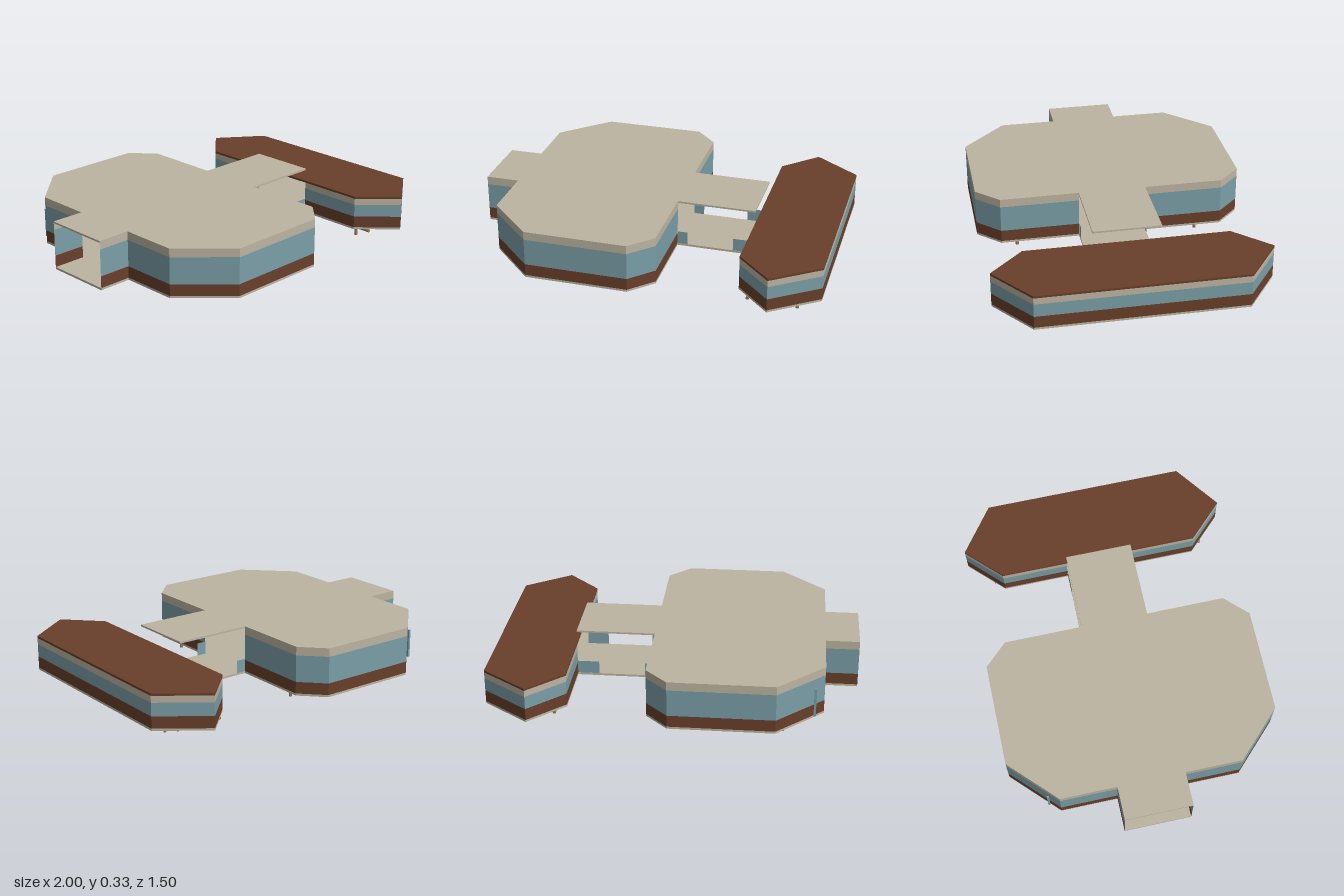
import * as THREE from 'three';

const mat = (name, color, side = THREE.FrontSide) => {
  const m = new THREE.MeshStandardMaterial({ color, side });
  m.name = name;
  return m;
};

export function createModel() {
  const beige = mat('beige', 0xbdb4a1);
  const beigeWall = beige;
  beige.side = THREE.DoubleSide;
  const glass = mat('glass blue', 0x7a9ea7, THREE.DoubleSide);
  const brown = mat('brown', 0x683f2a, THREE.DoubleSide);
  const wood = mat('timber', 0x967c52);

  const model = new THREE.Group();
  model.name = 'pavilion';

  const add = (name, geometry, material, parent = model) => {
    const mesh = new THREE.Mesh(geometry, material);
    mesh.name = name;
    parent.add(mesh);
    return mesh;
  };
  const box = (name, x0, x1, y0, y1, z0, z1, material, parent) =>
    add(name, new THREE.BoxGeometry(x1 - x0, y1 - y0, z1 - z0), material, parent)
      .position.set((x0 + x1) / 2, (y0 + y1) / 2, (z0 + z1) / 2);

  // Flat slab over a plan outline of [x, z] points
  const slab = (name, outline, y0, y1, material) => {
    const shape = new THREE.Shape(outline.map(([x, z]) => new THREE.Vector2(x, z)));
    const g = new THREE.ExtrudeGeometry(shape, { depth: y1 - y0, bevelEnabled: false });
    g.rotateX(Math.PI / 2).translate(0, y1, 0);
    add(name, g, material);
  };

  // Thin wall along a plan path, stacked in coloured bands
  const walls = (name, path, bands) => {
    const group = new THREE.Group();
    group.name = name;
    model.add(group);
    for (const [band, y0, y1, material] of bands) {
      for (let i = 0; i + 1 < path.length; i++) {
        const [ax, az] = path[i], [bx, bz] = path[i + 1];
        const g = new THREE.PlaneGeometry(Math.hypot(bx - ax, bz - az), y1 - y0);
        g.rotateY(Math.atan2(az - bz, bx - ax));
        g.translate((ax + bx) / 2, (y0 + y1) / 2, (az + bz) / 2);
        add(band, g, material, group);
      }
    }
  };

  const mirrored = (path) => path.map(([x, z]) => [x, -z]);

  // Main hall: front half of the plan, from the entrance stub to the bridge
  const hallHalf = [[-1, 0.187], [-0.815, 0.187], [-0.815, 0.502], [-0.565, 0.748],
    [0, 0.748], [0.121, 0.623], [0.121, 0.187]];
  const hallSlab = [...hallHalf, [0.555, 0.187]];
  const hallOutline = [...hallSlab, ...mirrored(hallSlab).reverse()];
  const hallBands = [['lowerWall', 0.07, 0.135, brown], ['windowBand', 0.135, 0.283, glass],
    ['upperWall', 0.283, 0.32, beigeWall]];
  slab('hallFloor', hallOutline, 0.058, 0.07, beige);
  slab('hallRoof', hallOutline, 0.32, 0.33, beige);
  walls('hallFrontWalls', hallHalf, hallBands);
  walls('hallBackWalls', mirrored(hallHalf), hallBands);

  // Side wing: elongated hexagon, open where the bridge enters
  const wingHalf = [[0.555, 0.187], [0.555, 0.56], [0.742, 0.748], [0.995, 0.562], [0.995, 0]];
  const wingOutline = [[0.555, 0.56], [0.742, 0.748], [0.995, 0.562],
    [0.995, -0.562], [0.742, -0.748], [0.555, -0.56]];
  const wingBands = [['lowerWall', 0.07, 0.135, brown], ['windowBand', 0.135, 0.207, glass],
    ['upperWall', 0.207, 0.243, beigeWall]];
  slab('wingFloor', wingOutline, 0.058, 0.07, beige);
  slab('wingRoof', wingOutline, 0.243, 0.255, brown);
  walls('wingFrontWalls', wingHalf, wingBands);
  walls('wingBackWalls', mirrored(wingHalf), wingBands);

  // Low glass rails at both ends of the bridge
  for (const z of [-0.186, 0.186]) {
    for (const [x0, x1] of [[0.121, 0.178], [0.435, 0.555]]) {
      walls('bridgeRail', [[x0, z], [x1, z]], [['railPanel', 0.07, 0.142, glass]]);
    }
  }

  // Ridge beam under the hall roof, and a slim post beside the back corner
  box('ridgeBeam', -0.8, 0.1, 0.3, 0.32, -0.014, 0.014, wood);
  box('cornerPost', -0.772, -0.76, 0.07, 0.23, -0.567, -0.555, glass);

  // Round timber beams under the floors
  const beam = (name, x0, z0, x1, z1) => {
    const g = new THREE.CylinderGeometry(0.009, 0.009, Math.hypot(x1 - x0, z1 - z0), 10);
    if (x0 === x1) g.rotateX(Math.PI / 2);
    else g.rotateZ(Math.PI / 2);
    add(name, g, wood).position.set((x0 + x1) / 2, 0.049, (z0 + z1) / 2);
  };
  for (const x of [-0.6, 0.05, 0.615, 0.87]) beam('longBeam', x, -0.615, x, 0.625);
  for (const z of [0.41, -0.465]) beam('crossBeam', -0.73, z, 0.087, z);

  // Short stilts
  const stilts = [[0.87, 0.565], [0.87, -0.495], [0.615, 0.53], [0.615, -0.465],
    [0.05, 0.53], [0.05, -0.495], [-0.6, 0.41], [-0.6, -0.61], [-0.41, 0.64], [-0.76, -0.295]];
  for (const [x, z] of stilts) {
    add('stilt', new THREE.CylinderGeometry(0.009, 0.009, 0.058, 10), wood).position.set(x, 0.029, z);
  }

  return model;
}
